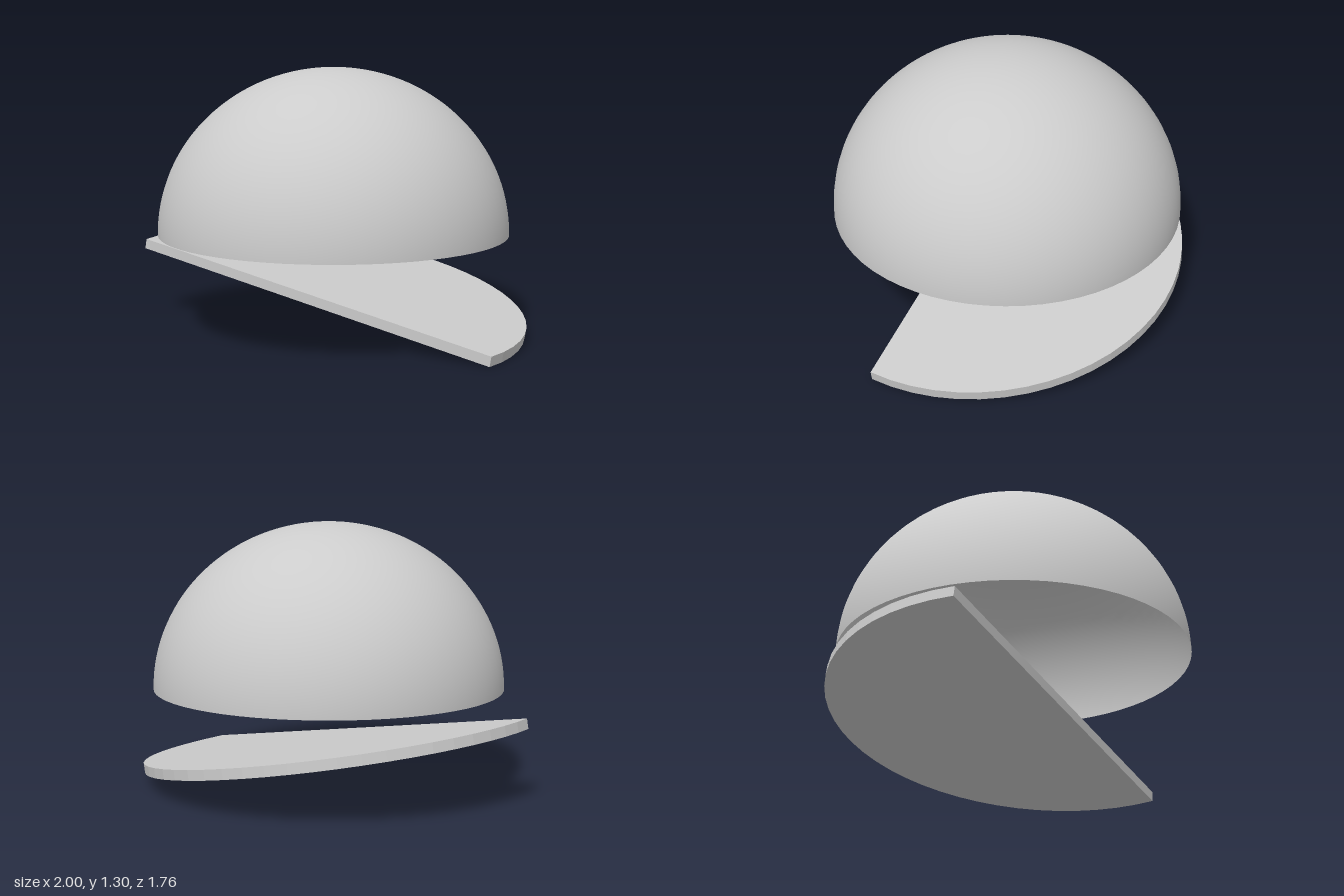
import * as THREE from 'three';

export function createModel() {
  const group = new THREE.Group();
  const material = new THREE.MeshStandardMaterial({ color: 0xcccccc, side: THREE.DoubleSide });

  // Hollow crown: slightly flattened hemisphere, open below
  const crown = new THREE.Mesh(
    new THREE.SphereGeometry(0.867, 64, 32, 0, Math.PI * 2, 0, Math.PI / 2),
    material
  );
  crown.name = 'crown';
  crown.scale.y = 0.94;
  crown.position.set(-0.006, 0.49, 0.01);
  group.add(crown);

  // Brim: thin sector a little over half a disc, its cut edges meeting in a shallow V
  const radius = 1.011, thickness = 0.05, overlap = 0.153;
  const sector = new THREE.Shape();
  sector.moveTo(0, 0);
  sector.absarc(0, 0, radius, -overlap, Math.PI + overlap, false);
  sector.closePath();
  const brimGeometry = new THREE.ExtrudeGeometry(sector, {
    depth: thickness, bevelEnabled: false, curveSegments: 16
  });
  brimGeometry.translate(0, 0, -thickness / 2);
  brimGeometry.rotateX(-Math.PI / 2);
  const brim = new THREE.Mesh(brimGeometry, material);
  brim.name = 'brim';
  brim.rotation.z = THREE.MathUtils.degToRad(-10.1);
  brim.position.set(0, 0.203, 0.13);
  group.add(brim);

  return group;
}
